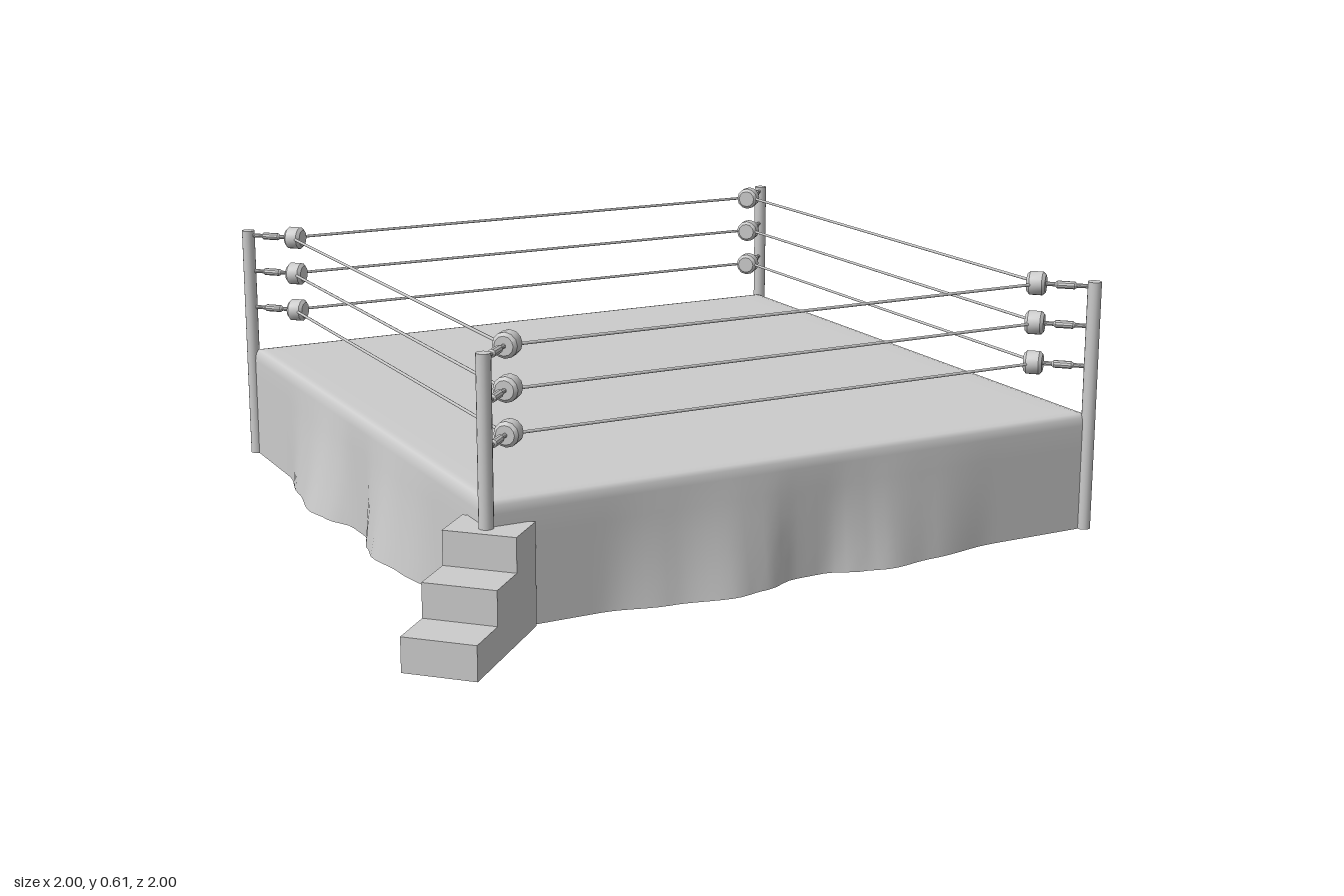
import * as THREE from 'three';
import { mergeGeometries, toCreasedNormals } from 'three/addons/utils/BufferGeometryUtils.js';

const HALF = 0.76, DECK = 0.28, ROPE = 0.675;
const ROPE_HEIGHTS = [0.39, 0.485, 0.578];
const STEP_RUN = 0.109, STEP_RISE = 0.075, STEP_WIDTH = 0.161, STAIR_END = 1.333;

const solid = new THREE.MeshStandardMaterial({ color: 0xcccccc });
const thin = new THREE.MeshStandardMaterial({ color: 0xcccccc, side: THREE.DoubleSide });

function part(name, geometry, material = solid) {
  const mesh = new THREE.Mesh(geometry, material);
  mesh.name = name;
  return mesh;
}

// Outward billow of the cloth hem along one side: [position, bulge]
const HEM = [[-0.76, 0], [-0.5, 0], [-0.35, 0.028], [-0.2, 0.052], [-0.12, 0.037], [-0.03, 0.003],
  [0.05, 0.001], [0.13, 0.028], [0.2, 0.042], [0.32, 0.025], [0.5, 0], [0.76, 0]];

function hemBulge(s) {
  let i = 0;
  while (i < HEM.length - 2 && s > HEM[i + 1][0]) i++;
  const [a, b] = [HEM[i], HEM[i + 1]];
  const t = THREE.MathUtils.clamp((s - a[0]) / (b[0] - a[0]), 0, 1);
  return THREE.MathUtils.lerp(a[1], b[1], t * t * (3 - 2 * t));
}

// One side of the cover: rounded deck edge, then cloth down to the ground
function skirtGeometry() {
  const profile = [[0.68, DECK], [0.735, DECK], [0.75, 0.277], [0.757, 0.268], [HALF, 0.25],
    [HALF, 0.2], [HALF, 0.15], [HALF, 0.1], [HALF, 0.05], [HALF, 0]];
  const columns = 64;
  const g = new THREE.PlaneGeometry(2, 1, columns, profile.length - 1);
  const p = g.attributes.position;
  for (let i = 0; i < p.count; i++) {
    const [out, y] = profile[Math.floor(i / (columns + 1))];
    const x = p.getX(i) * out;
    const fall = Math.pow(Math.max(0, 1 - y / 0.25), 1.3);
    p.setXYZ(i, x, y, out + hemBulge(x) * fall);
  }
  g.computeVertexNormals();
  return g;
}

// Hollow steps, open underneath and at the ring end; local +x points outwards
function stairsGeometry() {
  const pieces = [];
  const inner = STAIR_END - 3 * STEP_RUN;
  const outline = new THREE.Shape().moveTo(inner, 0).lineTo(STAIR_END, 0);
  for (let i = 0; i < 3; i++) {
    const x = STAIR_END - i * STEP_RUN, y = (i + 1) * STEP_RISE;
    outline.lineTo(x, y).lineTo(x - STEP_RUN, y);
    pieces.push(new THREE.PlaneGeometry(STEP_WIDTH, STEP_RISE).rotateY(Math.PI / 2)
      .translate(x, y - STEP_RISE / 2, 0));
    pieces.push(new THREE.PlaneGeometry(STEP_RUN, STEP_WIDTH).rotateX(-Math.PI / 2)
      .translate(x - STEP_RUN / 2, y, 0));
  }
  pieces.push(new THREE.ShapeGeometry(outline).translate(0, 0, STEP_WIDTH / 2));
  pieces.push(new THREE.ShapeGeometry(outline).rotateY(Math.PI).scale(-1, 1, 1)
    .translate(0, 0, -STEP_WIDTH / 2));
  // Restore the winding of the mirrored side
  const index = pieces[pieces.length - 1].index;
  for (let i = 0; i < index.count; i += 3) {
    const a = index.getX(i);
    index.setX(i, index.getX(i + 2));
    index.setX(i + 2, a);
  }
  pieces[pieces.length - 1].computeVertexNormals();
  return mergeGeometries(pieces);
}

// Turned part lying along local x, from [x, radius] points
function turned(points, sides) {
  const profile = points.map(([x, r]) => new THREE.Vector2(r, x));
  const g = new THREE.LatheGeometry(profile, sides).rotateZ(-Math.PI / 2);
  return toCreasedNormals(g, 0.6);
}

export function createModel() {
  const ring = new THREE.Group();
  ring.name = 'boxingRing';

  // Deck
  const deck = part('deck', new THREE.PlaneGeometry(1.36, 1.36).rotateX(-Math.PI / 2), thin);
  deck.position.y = DECK;
  ring.add(deck);

  const skirt = skirtGeometry();
  const rope = new THREE.CylinderGeometry(0.0035, 0.0035, 2 * ROPE - 0.02, 8).rotateZ(Math.PI / 2);
  const corner = HALF * Math.SQRT2;
  const post = new THREE.CylinderGeometry(0.016, 0.016, 0.59, 16);
  const pad = turned([[0.921, 0], [0.921, 0.021], [0.928, 0.028], [0.957, 0.028],
    [0.964, 0.021], [0.964, 0]], 12);
  const buckle = turned([[0.96, 0.005], [0.985, 0.005], [0.99, 0.009], [1.03, 0.009],
    [1.035, 0.005], [corner, 0.005]], 10);
  const stairs = stairsGeometry();

  for (let k = 0; k < 4; k++) {
    // Cloth and ropes of one side
    const side = new THREE.Group();
    side.name = 'side';
    side.rotation.y = k * Math.PI / 2;
    side.add(part('skirt', skirt, thin));
    for (const y of ROPE_HEIGHTS) {
      const line = part('rope', rope);
      line.position.set(0, y, ROPE);
      side.add(line);
    }
    ring.add(side);

    // Post, turnbuckles and pads of one corner
    const cornerGroup = new THREE.Group();
    cornerGroup.name = 'corner';
    cornerGroup.rotation.y = Math.PI / 4 + k * Math.PI / 2;
    const pole = part('post', post);
    pole.position.set(corner, 0.295, 0);
    cornerGroup.add(pole);
    for (const y of ROPE_HEIGHTS) {
      const cushion = part('cornerPad', pad);
      const link = part('turnbuckle', buckle);
      cushion.position.y = link.position.y = y;
      cornerGroup.add(cushion, link);
    }
    // Steps at two opposite corners
    if (k % 2 === 0) cornerGroup.add(part('stairs', stairs, thin));
    ring.add(cornerGroup);
  }
  return ring;
}
